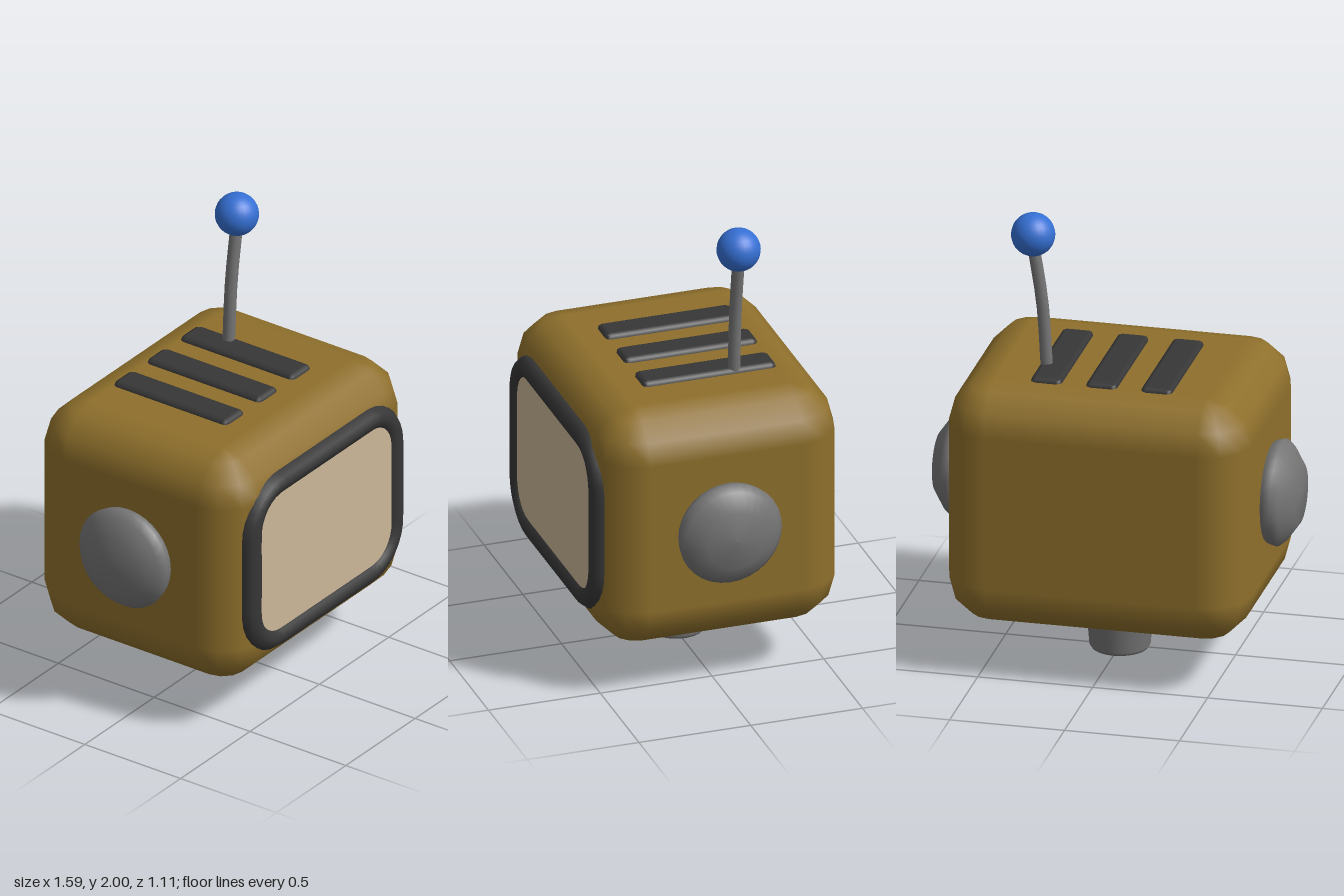
import * as THREE from 'three';
import { RoundedBoxGeometry } from 'three/addons/geometries/RoundedBoxGeometry.js';

const paint = (color) => new THREE.MeshStandardMaterial({ color });

// Box with 30-degree facets round its edges: a sphere grid whose octants are pushed apart
function softBox(w, h, d, r) {
  const geo = new THREE.SphereGeometry(1, 16, 9);
  const pos = geo.attributes.position, nor = geo.attributes.normal;
  const hx = w / 2 - r, hy = h / 2 - r, hz = d / 2 - r, step = Math.PI / 6;
  for (let row = 0, i = 0; row <= 9; row++) {
    const pole = row === 0 || row === 9;
    const theta = pole ? (row ? Math.PI : 0) : (row <= 4 ? row - 1 : row - 2) * step;
    const sy = row <= 4 ? 1 : -1;
    for (let col = 0; col <= 16; col++, i++) {
      const c = col % 16, quad = Math.floor(c / 4);
      const phi = (quad * 3 + (c % 4)) * step;
      const nx = -Math.cos(phi) * Math.sin(theta), ny = Math.cos(theta), nz = Math.sin(phi) * Math.sin(theta);
      const sx = quad === 0 || quad === 3 ? -1 : 1, sz = quad < 2 ? 1 : -1;
      pos.setXYZ(i, pole ? 0 : sx * hx + r * nx, sy * hy + r * ny, pole ? 0 : sz * hz + r * nz);
      nor.setXYZ(i, nx, ny, nz);
    }
  }
  return geo;
}

// Rounded rectangle outline centred on the origin
function roundedRect(hw, hh, r) {
  const s = new THREE.Shape();
  s.moveTo(hw, 0);
  s.absarc(hw - r, hh - r, r, 0, Math.PI / 2);
  s.absarc(-hw + r, hh - r, r, Math.PI / 2, Math.PI);
  s.absarc(-hw + r, -hh + r, r, Math.PI, Math.PI * 1.5);
  s.absarc(hw - r, -hh + r, r, Math.PI * 1.5, Math.PI * 2);
  s.closePath();
  return s;
}

const lathe = (points, segments) =>
  new THREE.LatheGeometry(points.map(([r, y]) => new THREE.Vector2(r, y)), segments);

export function createModel() {
  const group = new THREE.Group();
  const add = (name, geometry, material, x = 0, y = 0, z = 0) => {
    const mesh = new THREE.Mesh(geometry, material);
    mesh.name = name;
    mesh.position.set(x, y, z);
    group.add(mesh);
    return mesh;
  };
  const brown = paint(0x8f702c), dark = paint(0x383737), grey = paint(0x757575);
  const midY = 0.765, midZ = -0.012;

  // Casing
  add('casing', softBox(1.32, 1.085, 1.085, 0.2), brown, 0, midY, midZ);

  // Screen and its rounded surround
  add('screen', new THREE.ShapeGeometry(roundedRect(0.5, 0.36, 0.16), 8), paint(0xcbb698), 0, midY, 0.536);
  const outline = roundedRect(0.51, 0.368, 0.18).getSpacedPoints(64).slice(0, -1)
    .map((p) => new THREE.Vector3(p.x, p.y, 0));
  const loop = new THREE.CatmullRomCurve3(outline, true);
  add('screenFrame', new THREE.TubeGeometry(loop, 80, 0.054, 10, true), dark, 0, midY, 0.502);

  // Side knobs
  const knob = lathe([[0.2, 0], [0.222, 0.03], [0.23, 0.065], [0.205, 0.095], [0.13, 0.147], [0, 0.157]]
    .reverse(), 32);
  knob.scale(1, -1, 1);
  for (const side of [1, -1]) {
    const mesh = add(side > 0 ? 'leftKnob' : 'rightKnob', knob, grey, side * 0.64, midY, midZ);
    mesh.rotation.z = side * Math.PI / 2;
  }

  // Flared foot
  const foot = lathe([[0, 0], [0.12, 0], [0.13, 0.015], [0.14, 0.13], [0.148, 0.15], [0.215, 0.2], [0.243, 0.22], [0.243, 0.25]], 32);
  add('foot', foot, grey, 0, 0, midZ);

  // Top vents
  const vent = new RoundedBoxGeometry(0.14, 0.09, 0.6, 1, 0.025);
  for (const x of [-0.24, 0, 0.24]) add('vent', vent, dark, x, 1.283, -0.06);

  // Bent aerial with a ball tip
  const rod = new THREE.CatmullRomCurve3([
    new THREE.Vector3(0.277, 1.28, -0.175),
    new THREE.Vector3(0.298, 1.6, -0.175),
    new THREE.Vector3(0.34, 1.87, -0.175),
  ]);
  add('aerial', new THREE.TubeGeometry(rod, 6, 0.027, 12), grey);
  add('aerialBall', new THREE.SphereGeometry(0.094, 24, 16), paint(0x3570d4), 0.338, 1.906, -0.175);

  return group;
}
